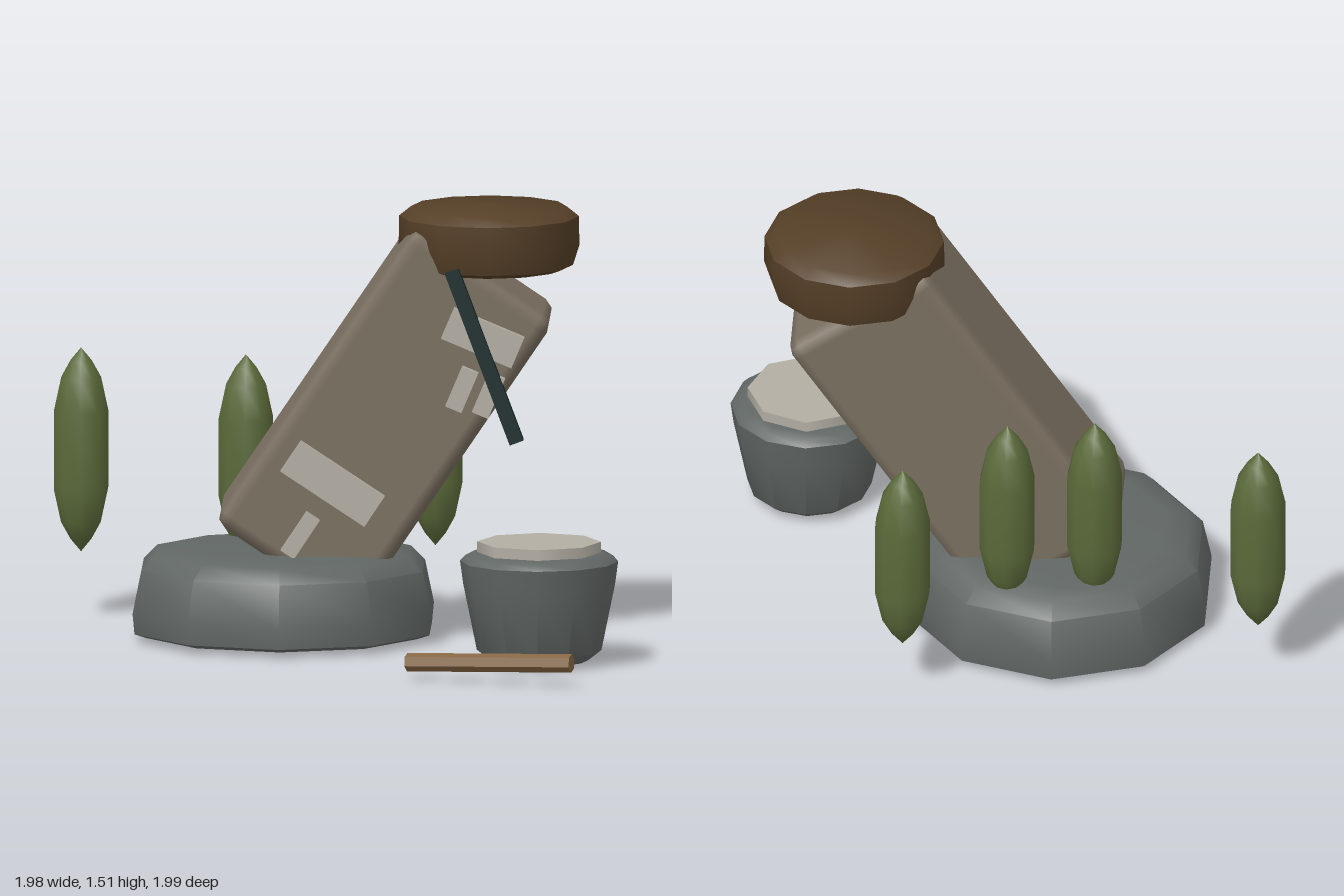
import * as THREE from 'three';
import { toCreasedNormals } from 'three/addons/utils/BufferGeometryUtils.js';
import { RoundedBoxGeometry } from 'three/addons/geometries/RoundedBoxGeometry.js';

const mat = (name, color) => {
  const m = new THREE.MeshStandardMaterial({ color });
  m.name = name;
  return m;
};

export function createModel() {
  const group = new THREE.Group();
  const rock = mat('grey rock', 0x616765);
  const stone = mat('brown stone', 0x7a6f60);
  const bark = mat('dark brown', 0x553f27);
  const leaf = mat('foliage green', 0x5b6a3a);
  const pale = mat('pale stone', 0xb3aea3);
  const dark = mat('dark teal', 0x1c2d2d);
  const wood = mat('wood', 0x866745);

  const add = (name, geometry, material, x, y, z, rotZ = 0) => {
    const mesh = new THREE.Mesh(geometry, material);
    mesh.name = name;
    mesh.position.set(x, y, z);
    mesh.rotation.z = rotZ;
    group.add(mesh);
    return mesh;
  };
  // turned body from [radius, height] pairs, bottom to top
  const turned = (profile, sides) => toCreasedNormals(
    new THREE.LatheGeometry(profile.map(([r, y]) => new THREE.Vector2(r, y)), sides), 0.75);

  // wide boulder under the pillar
  add('baseRock', turned([[0, 0], [0.49, 0.015], [0.535, 0.03], [0.542, 0.1], [0.51, 0.25],
    [0.46, 0.3], [0.38, 0.312], [0, 0.315]], 10), rock, -0.185, 0, -0.26);

  // leaning pillar with chamfered edges
  const lean = -0.594;
  add('leaningPillar', new RoundedBoxGeometry(0.585, 1.24, 0.44, 1, 0.05), stone, 0.168, 0.78, -0.25, lean);

  // round cap at the pillar's upper end
  add('cap', turned([[0, 1.28], [0.25, 1.285], [0.29, 1.3], [0.312, 1.37], [0.31, 1.47],
    [0.27, 1.502], [0, 1.51]], 12), bark, 0.525, 0, -0.26);

  // raised pale panels on the pillar's front: x, y, width, height, rotation
  [
    [-0.008, 0.57, 0.347, 0.126, -0.585],
    [-0.12, 0.39, 0.055, 0.16, -0.585],
    [0.51, 1.08, 0.263, 0.115, -0.4],
    [0.438, 0.9, 0.06, 0.15, -0.4],
    [0.53, 0.88, 0.06, 0.15, -0.4],
  ].forEach(([x, y, w, h, r], i) =>
    add('pillarPanel' + (i + 1), new THREE.BoxGeometry(w, h, 0.045), pale, x, y, -0.0145, r));

  // dark bar crossing the upper panels
  add('darkBar', new THREE.BoxGeometry(0.05, 0.635, 0.052), dark, 0.516, 1.018, 0.018, 0.36);

  // small tapered boulder with a pale slab
  add('smallRock', turned([[0, 0.01], [0.17, 0.015], [0.215, 0.05], [0.262, 0.28], [0.273, 0.36],
    [0.255, 0.38], [0.22, 0.39], [0, 0.39]], 12), rock, 0.715, 0, 0.385);
  add('paleSlab', new THREE.CylinderGeometry(0.214, 0.214, 0.04, 8).toNonIndexed(), pale, 0.715, 0.407, 0.385);

  // spindle-shaped shrubs
  const shrub = new THREE.LatheGeometry([[0, 0.23], [0.038, 0.275], [0.072, 0.335], [0.098, 0.45],
    [0.098, 0.72], [0.072, 0.835], [0.038, 0.895], [0, 0.94]].map(([r, y]) => new THREE.Vector2(r, y)), 10);
  [[-0.895, -0.72], [-0.322, -0.565], [-0.022, -0.6], [0.323, -0.9]].forEach(([x, z], i) =>
    add('shrub' + (i + 1), shrub, leaf, x, 0, z));

  // wooden stick lying in front
  const a = new THREE.Vector3(0.27, 0.06, 0.77), b = new THREE.Vector3(0.842, 0.085, 0.96);
  const mid = a.clone().add(b).multiplyScalar(0.5);
  const stick = add('stick', toCreasedNormals(new THREE.CylinderGeometry(0.032, 0.032, a.distanceTo(b), 6), 0.5),
    wood, mid.x, mid.y, mid.z);
  stick.quaternion.setFromUnitVectors(new THREE.Vector3(0, 1, 0), b.sub(a).normalize());

  return group;
}
